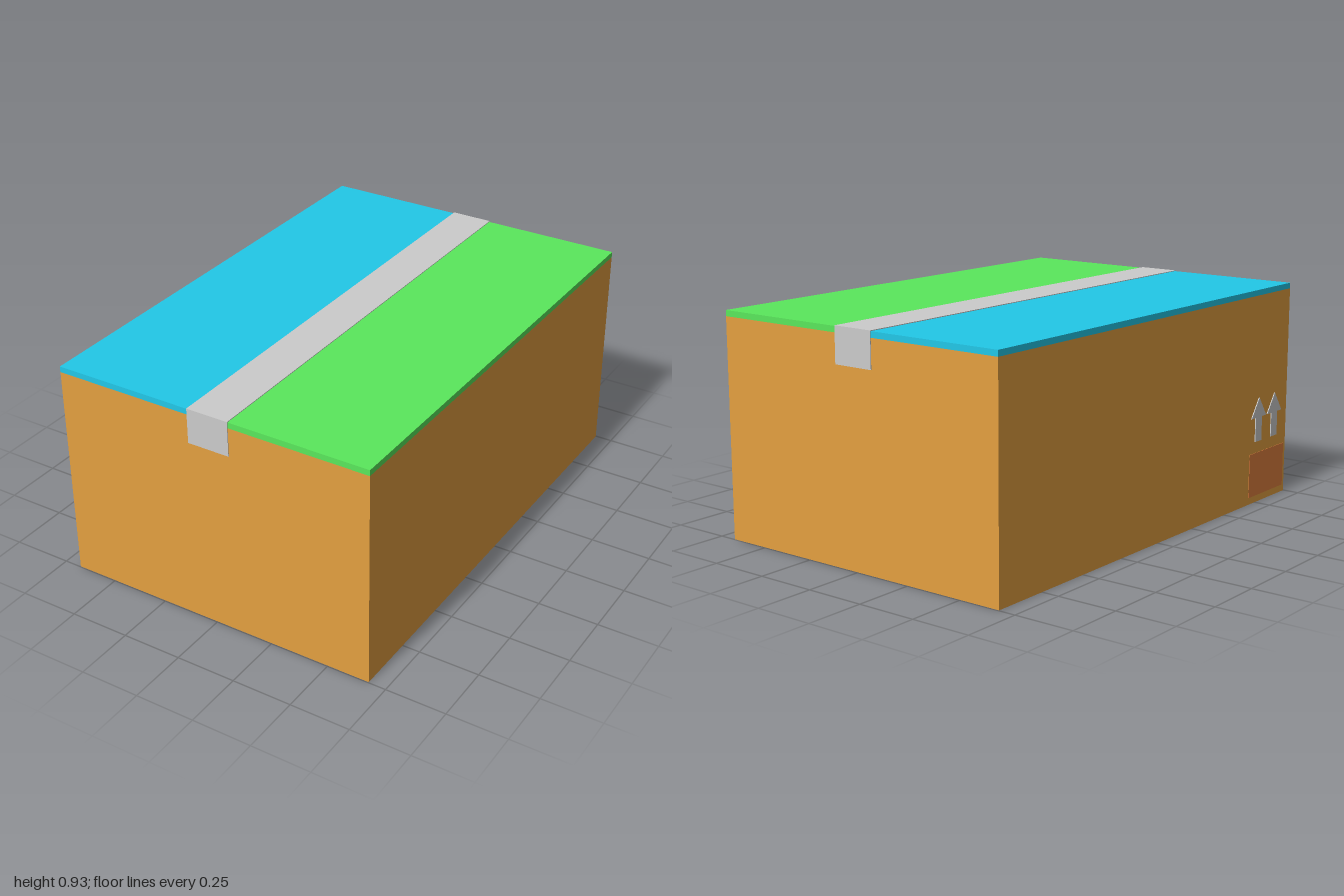
import * as THREE from 'three';

const W = 1.354, D = 1.994, BODY_H = 0.9, TOP = 0.924;

export function createModel() {
  const root = new THREE.Group();
  root.name = 'cardboardBox';
  const mat = (color) => new THREE.MeshStandardMaterial({ color, flatShading: true });
  const cardboard = mat(0xe4a040), blue = mat(0x22c8e8), green = mat(0x5ae85c);
  const grey = mat(0xcccccc), red = mat(0xe0803f);

  const add = (name, geometry, material, x, y, z, parent = root) => {
    const mesh = new THREE.Mesh(geometry, material);
    mesh.name = name;
    mesh.position.set(x, y, z);
    parent.add(mesh);
    return mesh;
  };
  const box = (name, material, w, h, d, x, y, z, parent) =>
    add(name, new THREE.BoxGeometry(w, h, d), material, x, y, z, parent);

  // Carton and the two closed lid flaps
  box('body', cardboard, W, BODY_H, D, 0, BODY_H / 2, 0);
  for (const [name, material, s] of [['leftFlap', green, 1], ['rightFlap', blue, -1]]) {
    box(name, material, W / 2, TOP - BODY_H, D, s * W / 4, (TOP + BODY_H) / 2, 0);
  }

  // Sealing tape, folded down over both ends
  const tape = new THREE.Group();
  tape.name = 'tape';
  root.add(tape);
  const t = 0.003, tapeW = 0.178, drop = 0.142;
  box('tapeTop', grey, tapeW, t, D + 2 * t, 0, TOP + t / 2, 0, tape);
  for (const [name, s] of [['tapeFront', 1], ['tapeBack', -1]]) {
    box(name, grey, tapeW, drop, t, 0, TOP - drop / 2, s * (D + t) / 2, tape);
  }

  // Printed marks on the right side: two up arrows above a red label
  const arrow = new THREE.Shape([
    [-0.025, 0.27], [0.025, 0.27], [0.025, 0.375], [0.06, 0.375],
    [0, 0.46], [-0.06, 0.375], [-0.025, 0.375],
  ].map(([x, y]) => new THREE.Vector2(x, y)));
  const arrowGeo = new THREE.ExtrudeGeometry(arrow, { depth: 0.004, bevelEnabled: false });
  arrowGeo.rotateY(-Math.PI / 2);
  for (const z of [0.76, 0.89]) add('upArrow', arrowGeo, grey, -W / 2, 0, z);
  box('label', red, 0.002, 0.19, 0.285, -W / 2 - 0.001, 0.125, 0.838);

  return root;
}
